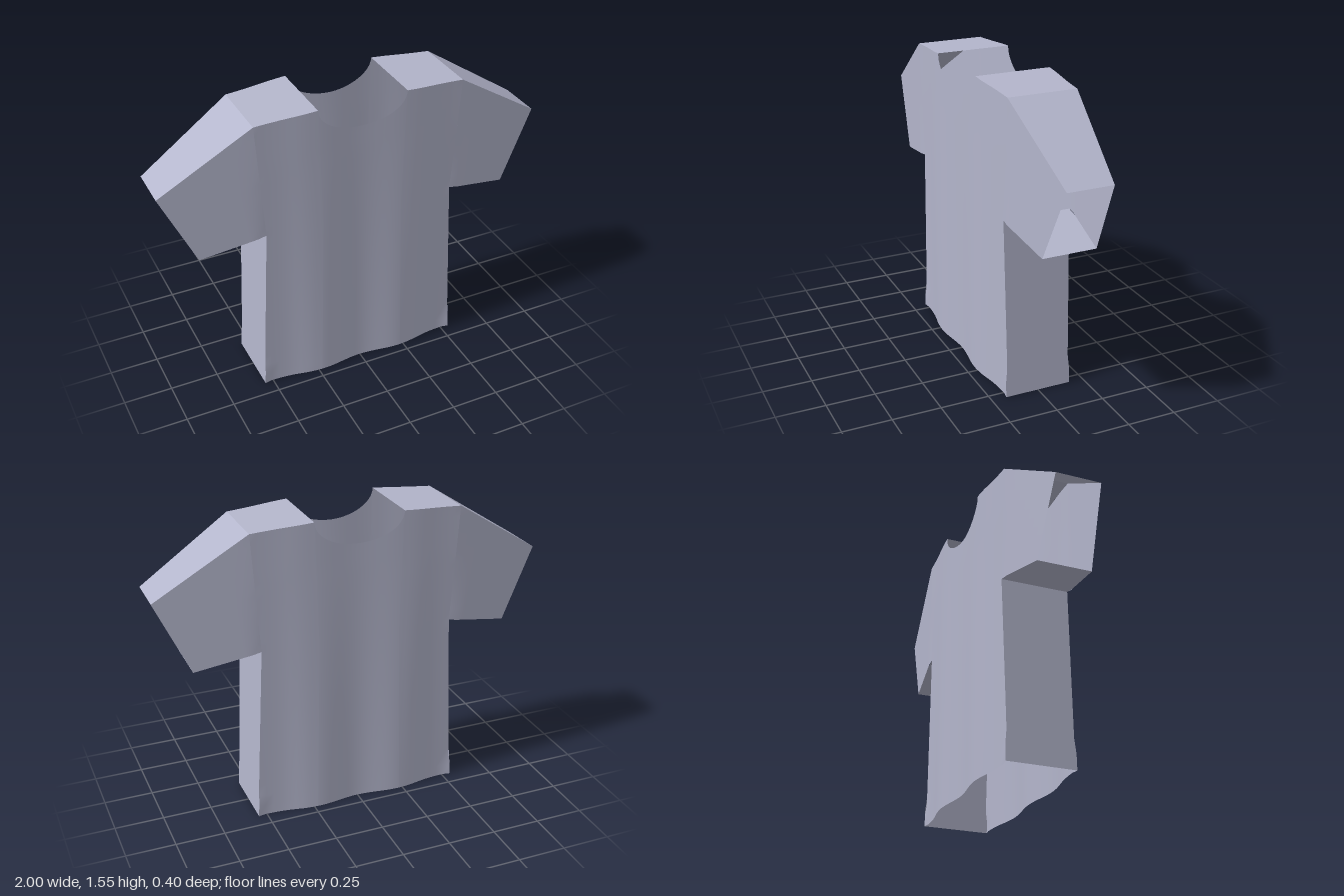
import * as THREE from 'three';
import { mergeGeometries, mergeVertices } from 'three/addons/utils/BufferGeometryUtils.js';

// Outline points on the model's left; the right is mirrored.
const HEM = [0.545, 0], ARMPIT = [0.5, 0.925], CUFF_LOW = [0.83, 0.86];
const CUFF_TOP = [1, 1.23], SHOULDER = [0.54, 1.525], NECK = [0.23, 1.546];
const NECK_DROP = 0.135;

const lerp = THREE.MathUtils.lerp;
const mirror = ([x, y]) => [-x, y];

// Half thickness of the shirt: softly rippled body, tapering sleeves.
function depth(x, y) {
  const a = Math.abs(x);
  if (a > 0.54) return lerp(0.174, 0.115, (a - 0.54) / 0.46);
  const low = Math.max(0, 1 - y / 1.3);
  const edge = THREE.MathUtils.smoothstep(a, 0.3, 0.54);
  const ripple = (0.004 + 0.007 * low) * Math.cos((x * Math.PI * 2) / 0.44);
  return 0.188 - ripple * (1 - edge) - edge * (0.014 + 0.009 * low);
}

// Evenly spaced points from a to b.
function line(a, b, n) {
  return Array.from({ length: n + 1 }, (_, i) => [lerp(a[0], b[0], i / n), lerp(a[1], b[1], i / n)]);
}

// Surface ruled between two rows of 3D points.
function ruled(rowA, rowB, steps) {
  const pos = [], idx = [], n = rowA.length;
  for (let j = 0; j <= steps; j++)
    for (let i = 0; i < n; i++)
      for (let k = 0; k < 3; k++) pos.push(lerp(rowA[i][k], rowB[i][k], j / steps));
  for (let j = 0; j < steps; j++)
    for (let i = 0; i < n - 1; i++) {
      const a = j * n + i, b = a + 1, c = a + n, d = c + 1;
      idx.push(a, b, d, a, d, c);
    }
  const g = new THREE.BufferGeometry();
  g.setAttribute('position', new THREE.Float32BufferAttribute(pos, 3));
  g.setIndex(idx);
  return g;
}

// Flat patch between a lower and an upper row, pushed out to the cloth depth.
function patch(lower, upper, steps) {
  const g = ruled(lower.map(([x, y]) => [x, y, 0]), upper.map(([x, y]) => [x, y, 0]), steps);
  const p = g.attributes.position;
  for (let i = 0; i < p.count; i++) p.setZ(i, depth(p.getX(i), p.getY(i)));
  return g;
}

function panelGeometry() {
  // Shoulder, scooped neckline, shoulder
  const neck = Array.from({ length: 25 }, (_, i) => {
    const t = Math.PI * (1 - i / 24);
    return [NECK[0] * Math.cos(t), NECK[1] - NECK_DROP * Math.sin(t)];
  });
  const top = [
    ...line(mirror(SHOULDER), mirror(NECK), 8).slice(0, -1),
    ...neck,
    ...line(NECK, SHOULDER, 8).slice(1),
  ];
  const chest = top.map(([x]) => [(x * ARMPIT[0]) / SHOULDER[0], ARMPIT[1]]);
  const hem = top.map(([x]) => [(x * HEM[0]) / SHOULDER[0], 0]);
  // Sleeves
  const under = line(ARMPIT, CUFF_LOW, 8), over = line(SHOULDER, CUFF_TOP, 8);
  const flip = (row) => row.map(mirror).reverse();
  const g = mergeVertices(mergeGeometries([
    patch(hem, chest, 16),
    patch(chest, top, 12),
    patch(under, over, 10),
    patch(flip(under), flip(over), 10),
  ]), 1e-4);
  g.computeVertexNormals();
  return g;
}

// Strip joining front to back along an outline edge.
function stripGeometry(a, b) {
  const row = line(a, b, 12);
  const g = ruled(
    row.map(([x, y]) => [x, y, depth(x, y)]),
    row.map(([x, y]) => [x, y, -depth(x, y)]), 1);
  g.computeVertexNormals();
  return g;
}

export function createModel() {
  const model = new THREE.Group();
  model.name = 'shirt';
  const cloth = new THREE.MeshStandardMaterial({ color: 0xb3b5cb, side: THREE.DoubleSide });
  cloth.name = 'lavender grey cloth';
  const add = (name, geometry) => {
    const mesh = new THREE.Mesh(geometry, cloth);
    mesh.name = name;
    model.add(mesh);
    return mesh;
  };

  // Front and back panels
  add('frontPanel', panelGeometry());
  add('backPanel', panelGeometry().rotateY(Math.PI));

  // Side strips; neck, cuffs and hem stay open
  const edges = {
    Side: [HEM, ARMPIT],
    Underarm: [ARMPIT, CUFF_LOW],
    SleeveTop: [CUFF_TOP, SHOULDER],
    Shoulder: [SHOULDER, NECK],
  };
  for (const [name, [a, b]] of Object.entries(edges)) {
    // Underarm runs outward so its face points down
    const [p, q] = name === 'Underarm' ? [b, a] : [a, b];
    const outward = name === 'Underarm' ? [q, p] : [p, q];
    add('left' + name, stripGeometry(...outward.slice().reverse()).scale(1, 1, 1));
    add('right' + name, stripGeometry(mirror(outward[0]), mirror(outward[1])));
  }
  return model;
}
